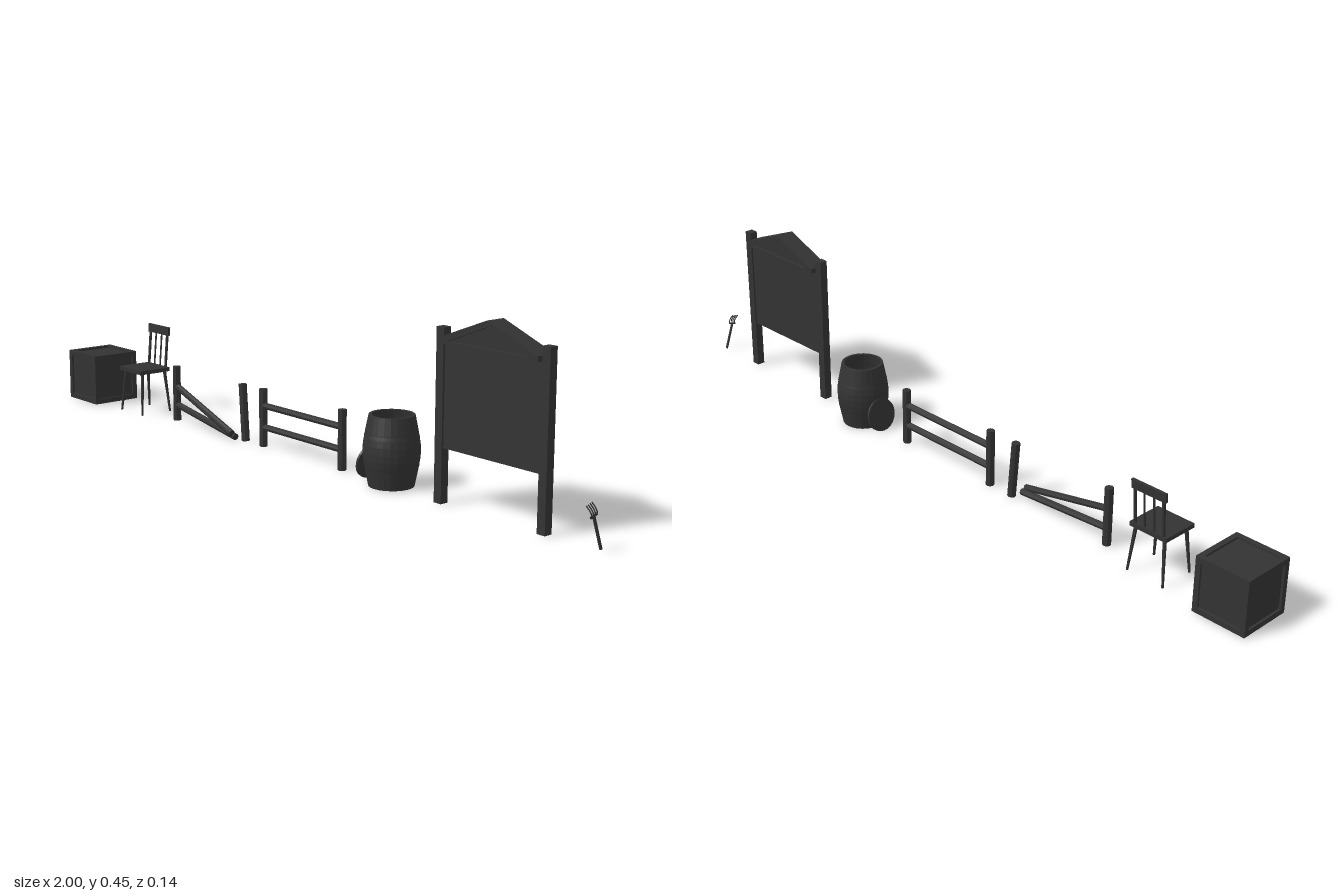
import * as THREE from 'three';

const wood = new THREE.MeshStandardMaterial({ color: 0x333333, flatShading: true });
const smoothWood = new THREE.MeshStandardMaterial({ color: 0x333333, side: THREE.DoubleSide });

function add(parent, name, geometry, x = 0, y = 0, z = 0, material = wood) {
  const m = new THREE.Mesh(geometry, material);
  m.name = name;
  m.position.set(x, y, z);
  parent.add(m);
  return m;
}

function box(parent, name, w, h, d, x, y, z) {
  return add(parent, name, new THREE.BoxGeometry(w, h, d), x, y, z);
}

// Round bar between two points, radius r0 at the start and r1 at the end
function bar(parent, name, from, to, r0, r1 = r0, sides = 8) {
  const a = new THREE.Vector3(...from), b = new THREE.Vector3(...to);
  const dir = b.clone().sub(a);
  const m = add(parent, name, new THREE.CylinderGeometry(r1, r0, dir.length(), sides));
  m.position.copy(a).add(b).multiplyScalar(0.5);
  m.quaternion.setFromUnitVectors(new THREE.Vector3(0, 1, 0), dir.normalize());
  return m;
}

function group(parent, name, x = 0, z = 0) {
  const g = new THREE.Group();
  g.name = name;
  g.position.set(x, 0, z);
  parent.add(g);
  return g;
}

// Crate: recessed panels inside a frame of twelve edge boards
function buildCrate(root) {
  const g = group(root, 'crate', -0.928);
  const s = 0.144, t = 0.014, o = (s - t) / 2, c = s / 2;
  box(g, 'cratePanels', s - 0.012, s - 0.012, s - 0.012, 0, c, 0);
  for (const i of [-1, 1]) for (const j of [-1, 1]) {
    box(g, 'crateEdgeX', s - 2 * t, t, t, 0, c + i * o, j * o);
    box(g, 'crateEdgeY', t, s, t, i * o, c, j * o);
    box(g, 'crateEdgeZ', t, t, s - 2 * t, i * o, c + j * o, 0);
  }
}

// Chair: splayed legs, flat seat, spindle back leaning to the rear
function buildChair(root) {
  const g = group(root, 'chair', -0.7);
  box(g, 'seat', 0.108, 0.011, 0.1, 0, 0.124, 0.002);
  for (const i of [-1, 1]) for (const j of [-1, 1])
    bar(g, 'chairLeg', [i * 0.053, 0, j * 0.048], [i * 0.042, 0.12, j * 0.038], 0.003, 0.005);
  for (const x of [-0.042, -0.014, 0.014, 0.042])
    bar(g, 'backSpindle', [x, 0.127, -0.042], [x, 0.232, -0.051], Math.abs(x) > 0.03 ? 0.004 : 0.0025);
  box(g, 'backRail', 0.1, 0.024, 0.007, 0, 0.233, -0.051).rotation.x = -0.1;
}

// Intact fence section
function buildFence(root) {
  const g = group(root, 'fence', 0.012);
  for (const s of [-1, 1]) bar(g, 'fencePost', [s * 0.158, 0, 0], [s * 0.158, 0.155, 0], 0.011);
  for (const y of [0.052, 0.11]) bar(g, 'fenceRail', [-0.155, y, 0], [0.155, y, 0], 0.009);
}

// Fence section with fallen rails and a leaning post
function buildBrokenFence(root) {
  const g = group(root, 'brokenFence');
  bar(g, 'standingPost', [-0.541, 0, 0], [-0.541, 0.155, 0], 0.011);
  bar(g, 'leaningPost', [-0.223, 0, 0], [-0.235, 0.154, 0], 0.011);
  bar(g, 'upperFallenRail', [-0.541, 0.098, 0], [-0.245, 0.02, 0.03], 0.009);
  bar(g, 'lowerFallenRail', [-0.541, 0.045, 0], [-0.24, 0.01, 0.021], 0.009);
}

// Open barrel with hoops, its lid leaning against the side
function buildBarrel(root) {
  const g = group(root, 'barrel', 0.35);
  const profile = [
    [0, 0.006], [0.049, 0.006], [0.05, 0], [0.056, 0], [0.064, 0.04], [0.069, 0.07], [0.07, 0.0875],
    [0.069, 0.105], [0.064, 0.135], [0.056, 0.175], [0.049, 0.175], [0.057, 0.135],
    [0.062, 0.0875], [0.057, 0.04], [0.052, 0.014], [0, 0.014],
  ].map(([r, y]) => new THREE.Vector2(r, y));
  const staves = new THREE.LatheGeometry(profile, 24).toNonIndexed();
  staves.computeVertexNormals();
  add(g, 'barrelStaves', staves, 0, 0, 0, smoothWood);
  for (const s of [-1, 1]) {
    const hoop = new THREE.CylinderGeometry(0.0655 - s * 0.0015, 0.0655 + s * 0.0015, 0.012, 24, 1, true);
    add(g, 'barrelHoop', hoop, 0, 0.0875 + s * 0.04, 0, smoothWood);
  }
  const lid = add(g, 'barrelLid', new THREE.CylinderGeometry(0.045, 0.045, 0.006, 24), -0.078, 0.045, -0.003);
  lid.rotation.z = Math.PI / 2 - 0.22;
}

// Notice board under a gabled roof
function buildNoticeBoard(root) {
  const g = group(root, 'noticeBoard', 0.69, 0.014);
  for (const s of [-1, 1]) box(g, 'boardPost', 0.023, 0.412, 0.022, s * 0.158, 0.206, 0);
  box(g, 'board', 0.296, 0.25, 0.012, 0, 0.257, 0);
  // Gable triangle with thick sloping edges and recessed panel
  const roof = new THREE.Shape([[-0.148, 0.378], [0.148, 0.378], [0.148, 0.391], [0, 0.448], [-0.148, 0.391]]
    .map(p => new THREE.Vector2(...p)));
  const inner = [[-0.12, 0.385], [0, 0.433], [0.12, 0.385]].map(p => new THREE.Vector2(...p));
  roof.holes.push(new THREE.Path(inner));
  add(g, 'gableRoof', new THREE.ExtrudeGeometry(roof, { depth: 0.052, bevelEnabled: false }), 0, 0, -0.026);
  const panel = new THREE.Shape(inner);
  add(g, 'gablePanel', new THREE.ExtrudeGeometry(panel, { depth: 0.036, bevelEnabled: false }), 0, 0, -0.018);
}

// Pitchfork leaning forwards, with four curved tines
function buildPitchfork(root) {
  const g = group(root, 'pitchfork', 0.992, 0.003);
  g.rotation.x = 0.3;
  bar(g, 'forkHandle', [0.003, 0.001, 0], [0, 0.078, 0], 0.0035);
  bar(g, 'forkCrossbar', [0, 0.08, -0.01], [0, 0.08, 0.01], 0.0028);
  for (const z of [-0.009, -0.003, 0.003, 0.009]) {
    const curve = new THREE.CatmullRomCurve3([
      [0, 0.079, z], [0.003, 0.086, z], [0.001, 0.095, z], [-0.007, 0.107, z],
    ].map(p => new THREE.Vector3(...p)));
    add(g, 'forkTine', new THREE.TubeGeometry(curve, 8, 0.0015, 6), 0, 0, 0, smoothWood);
  }
}

export function createModel() {
  const root = new THREE.Group();
  root.name = 'villageProps';
  buildCrate(root);
  buildChair(root);
  buildBrokenFence(root);
  buildFence(root);
  buildBarrel(root);
  buildNoticeBoard(root);
  buildPitchfork(root);
  return root;
}
